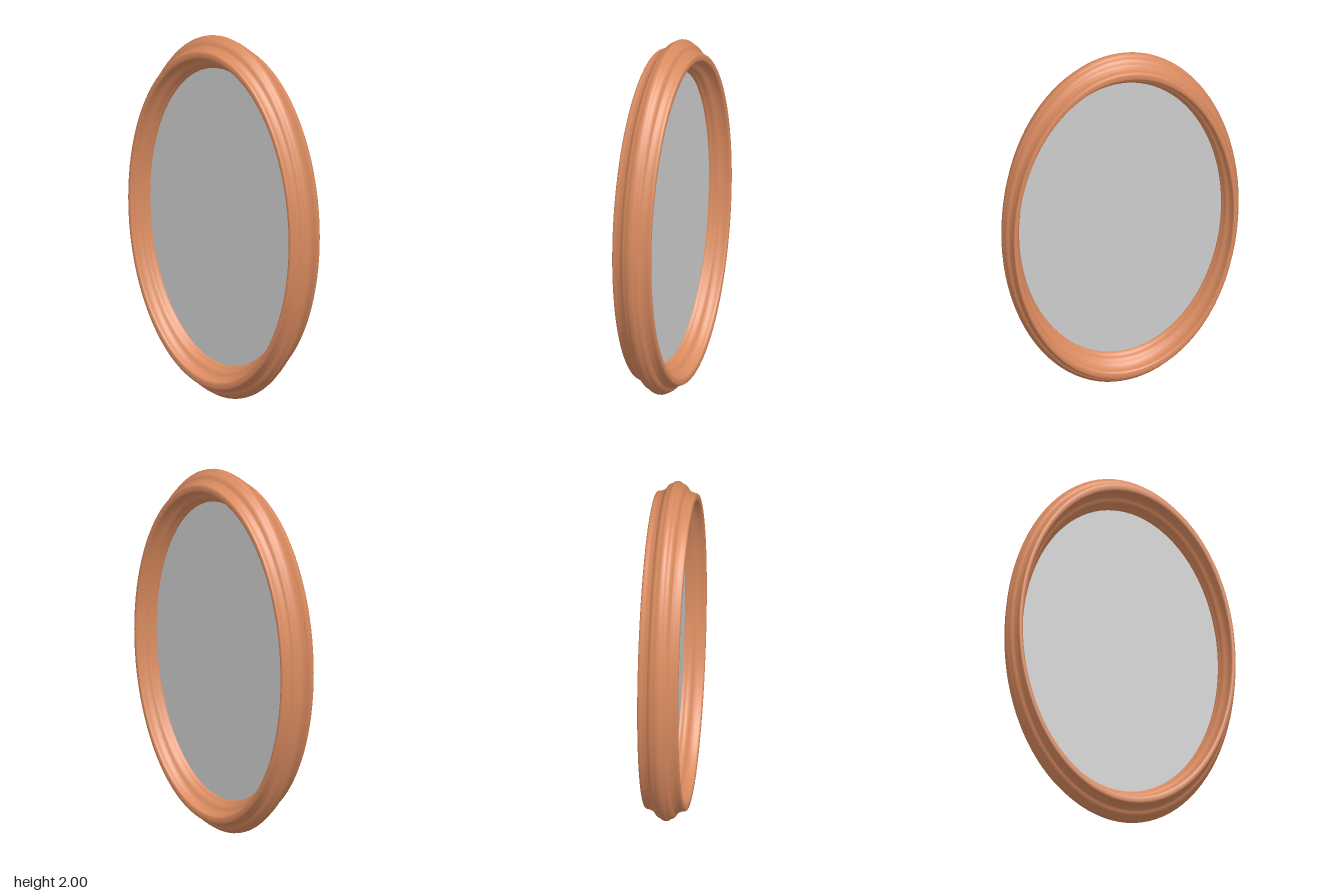
import * as THREE from 'three';
import { mergeVertices } from 'three/addons/utils/BufferGeometryUtils.js';

const HALF_HEIGHT = 1, HALF_WIDTH = 0.656;
// The moulding narrows from the top and bottom towards the sides
const heightAt = (d) => HALF_HEIGHT - d;
const widthAt = (d) => HALF_WIDTH - 0.53 * d;

// Half of the moulding section: [distance from mid-plane, inset from outer rim]
const half = [
  [0, 0], [0.013, 0.003], [0.026, 0.013], [0.037, 0.018], [0.048, 0.03],
  [0.056, 0.046], [0.066, 0.054], [0.082, 0.063], [0.1, 0.066], [0.108, 0.073],
  [0.108, 0.103], [0.101, 0.111], [0.082, 0.115], [0.066, 0.124], [0.056, 0.134],
  [0.046, 0.15], [0.034, 0.16], [0.024, 0.164], [0.012, 0.175], [0, 0.18],
];

function frameGeometry() {
  // Closed section: outer run, inner run, then the mirrored half
  const other = half.slice(1, -1).reverse().map(([x, d]) => [-x, d]);
  const loop = [...half, ...other].map(([x, d]) => new THREE.Vector3(1 - d, x, 0));
  const curve = new THREE.CatmullRomCurve3(loop, true, 'centripetal');
  const section = curve.getPoints(114).map((p) => new THREE.Vector2(p.x, p.y));
  const lathe = new THREE.LatheGeometry(section, 96);

  // Stretch the round ring into an oval standing upright and facing x
  const pos = lathe.attributes.position;
  for (let i = 0; i < pos.count; i++) {
    const x = pos.getX(i), y = pos.getY(i), z = pos.getZ(i);
    const r = Math.hypot(x, z);
    pos.setXYZ(i, y, HALF_HEIGHT + (z / r) * heightAt(1 - r), (x / r) * widthAt(1 - r));
  }
  lathe.deleteAttribute('normal');
  lathe.deleteAttribute('uv');
  const geometry = mergeVertices(lathe, 1e-5);
  geometry.computeVertexNormals();
  return geometry;
}

export function createModel() {
  const group = new THREE.Group();
  group.name = 'ovalMirror';

  const frame = new THREE.Mesh(
    frameGeometry(),
    new THREE.MeshStandardMaterial({ color: 0xd98a5f }),
  );
  frame.name = 'frame';
  group.add(frame);

  // Thin glass in the mid-plane, its edge tucked just inside the frame
  const glass = new THREE.Mesh(
    new THREE.CircleGeometry(1, 96),
    new THREE.MeshStandardMaterial({ color: 0xcccccc, side: THREE.DoubleSide }),
  );
  glass.geometry.rotateY(Math.PI / 2);
  glass.geometry.scale(1, heightAt(0.175), widthAt(0.175));
  glass.position.y = HALF_HEIGHT;
  glass.name = 'mirrorGlass';
  group.add(glass);

  return group;
}
